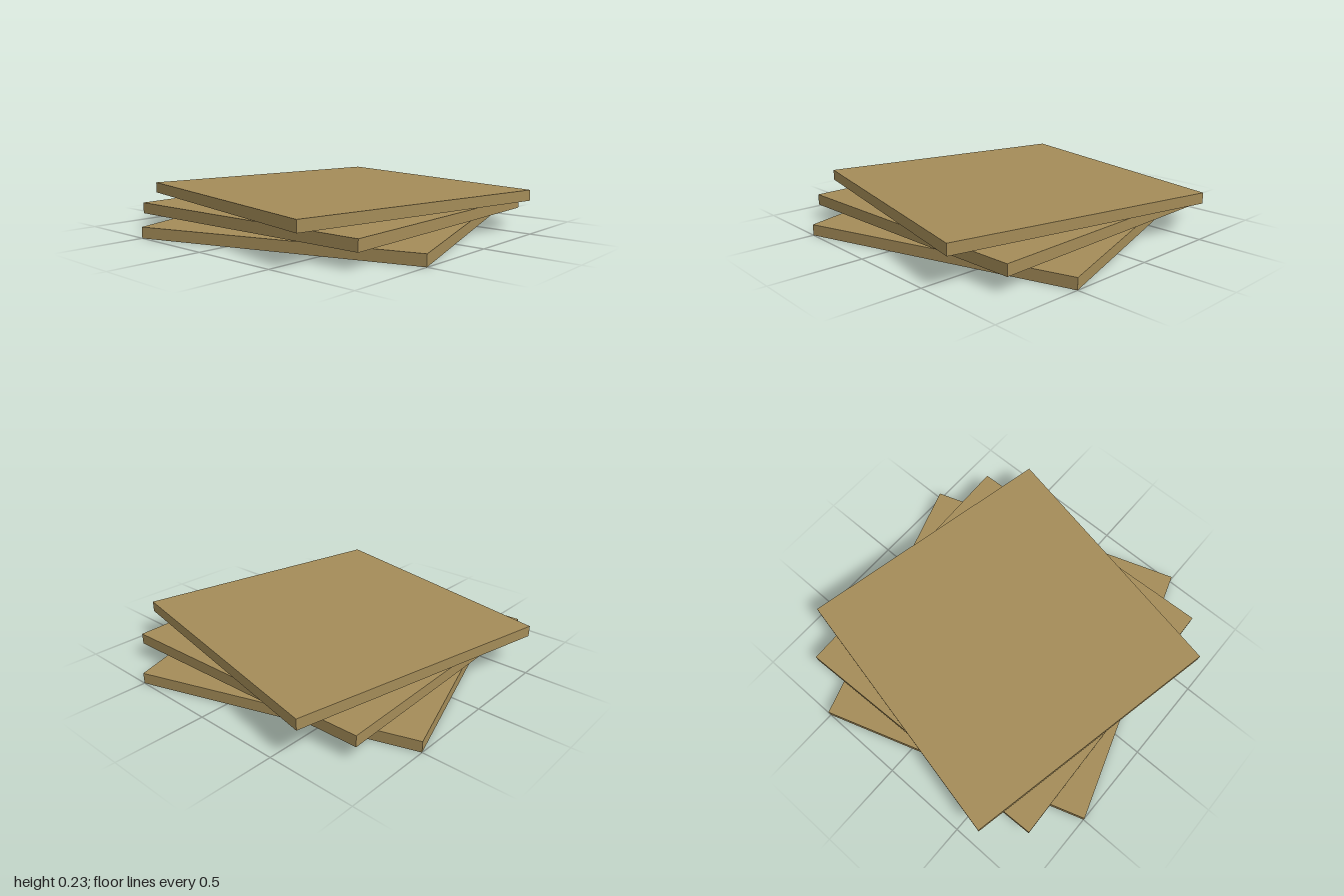
import * as THREE from 'three';

// Three square boards stacked with small gaps, each twisted a little further.
export function createModel() {
  const model = new THREE.Group();
  model.name = 'stackedBoards';

  const wood = new THREE.MeshStandardMaterial({ color: 0xa48c58 });
  wood.name = 'tan wood';

  const side = 1.581, thickness = 0.062, pitch = 0.084;
  const board = new THREE.BoxGeometry(side, thickness, side);

  // Name and twist in degrees, from the ground up
  const layers = [
    ['bottomBoard', 18.43],
    ['middleBoard', 2],
    ['topBoard', -11.8],
  ];
  layers.forEach(([name, twist], i) => {
    const mesh = new THREE.Mesh(board, wood);
    mesh.name = name;
    mesh.position.y = thickness / 2 + i * pitch;
    mesh.rotation.y = THREE.MathUtils.degToRad(twist);
    model.add(mesh);
  });

  return model;
}
